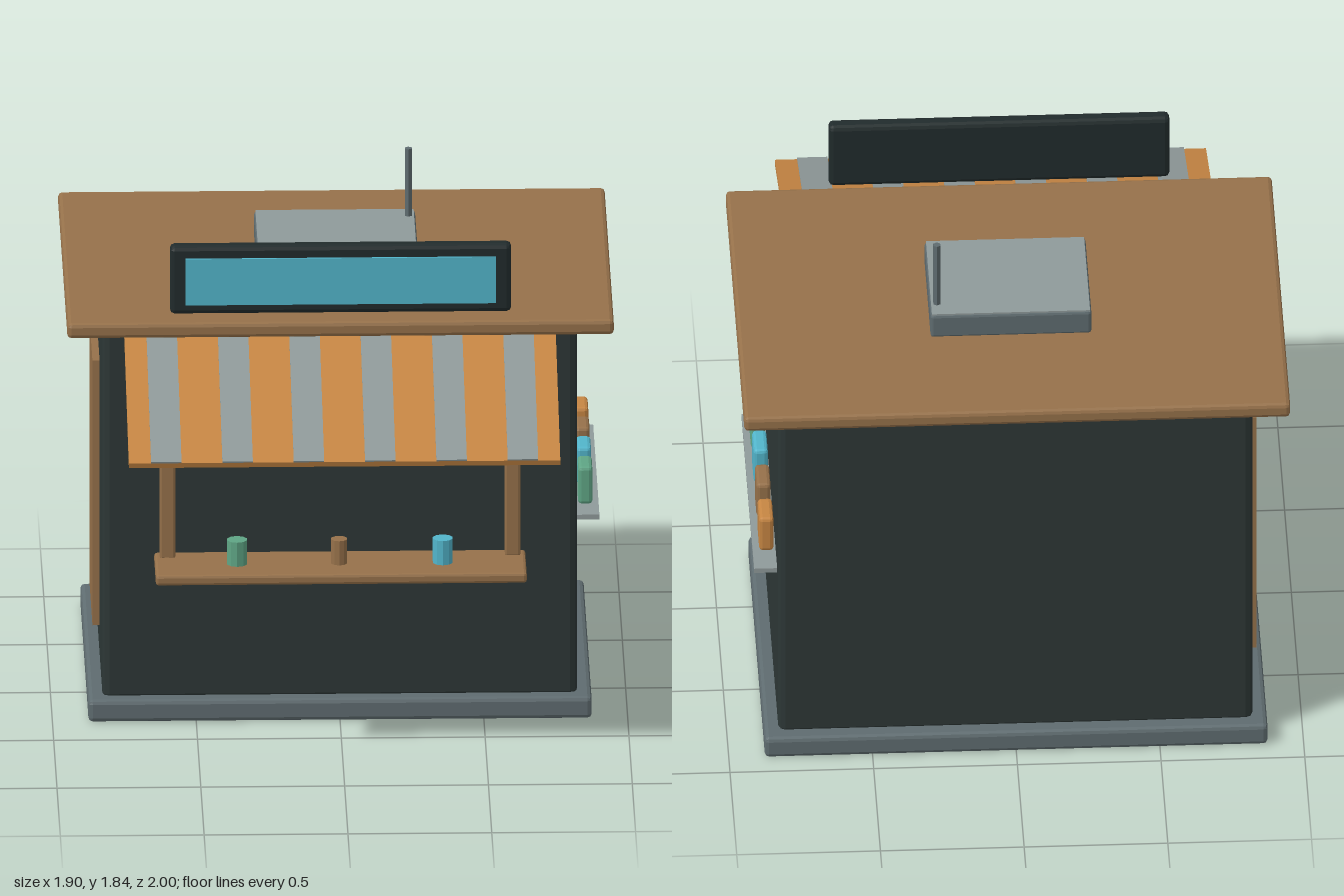
import * as THREE from 'three';
import { RoundedBoxGeometry } from 'three/addons/geometries/RoundedBoxGeometry.js';

const paint = (name, color) => {
  const m = new THREE.MeshStandardMaterial({ color });
  m.name = name;
  return m;
};

export function createModel() {
  const root = new THREE.Group();
  root.name = 'kiosk';
  const charcoal = paint('charcoal', 0x2d3736);
  const black = paint('black', 0x212b2c);
  const steel = paint('steel', 0x5f6c70);
  const paleGrey = paint('paleGrey', 0x8f9a9a);
  const wood = paint('wood', 0x96714a);
  const orange = paint('orange', 0xc68643);
  const cyan = paint('cyan', 0x52b5cb);
  const green = paint('green', 0x5fa585);

  const add = (name, geo, mat, parent = root) => {
    const mesh = new THREE.Mesh(geo, mat);
    mesh.name = name;
    parent.add(mesh);
    return mesh;
  };
  // Box given by its extents, with chamfered edges when bevel > 0
  const box = (name, mat, [x0, x1], [y0, y1], [z0, z1], bevel = 0, parent = root) => {
    const size = [x1 - x0, y1 - y0, z1 - z0];
    let geo;
    if (bevel) {
      geo = new RoundedBoxGeometry(...size, 1, bevel);
      geo.computeVertexNormals();
    } else geo = new THREE.BoxGeometry(...size);
    const mesh = add(name, geo, mat, parent);
    mesh.position.set((x0 + x1) / 2, (y0 + y1) / 2, (z0 + z1) / 2);
    return mesh;
  };
  // Round bar between two points
  const bar = (name, mat, a, b, r, sides = 8) => {
    const from = new THREE.Vector3(...a), to = new THREE.Vector3(...b);
    const dir = to.clone().sub(from);
    const geo = new THREE.CylinderGeometry(r, r, dir.length(), sides).toNonIndexed();
    geo.computeVertexNormals();
    const mesh = add(name, geo, mat);
    mesh.position.copy(from).add(to).multiplyScalar(0.5);
    mesh.quaternion.setFromUnitVectors(new THREE.Vector3(0, 1, 0), dir.normalize());
    return mesh;
  };

  // Main building
  box('base', steel, [-0.875, 0.875], [0, 0.08], [-0.92, 0.32], 0.015);
  box('walls', charcoal, [-0.825, 0.825], [0.06, 1.44], [-0.865, 0.265], 0.025);
  box('roof', wood, [-0.95, 0.95], [1.44, 1.495], [-1, 0.395], 0.014);
  box('sideDoor', wood, [-0.85, -0.82], [0.19, 1.165], [-0.6, -0.16]);

  // Serving window and counter
  box('windowPanel', charcoal, [-0.575, 0.575], [0.62, 1.22], [0.262, 0.27]);
  for (const s of [-1, 1])
    box('windowPost', wood, [s * 0.6 - 0.027, s * 0.6 + 0.027], [0.6, 1.245], [0.26, 0.32], 0.008);
  box('counter', wood, [-0.645, 0.645], [0.568, 0.606], [0.25, 0.51], 0.01);
  [[-0.36, green, 0.036], [-0.005, wood, 0.029], [0.355, cyan, 0.036]].forEach(([x, mat, r]) =>
    bar('cup', mat, [x, 0.605, 0.385], [x, 0.695, 0.385], r, 10));

  // Sloping striped awning, built flat then tilted
  const awning = new THREE.Group();
  awning.name = 'awning';
  awning.position.set(0, 1.307, 0.629);
  awning.rotation.x = Math.atan2(0.245, 0.735);
  root.add(awning);
  const half = 0.387;
  box('awningCanopy', orange, [-0.75, 0.75], [-0.01, 0.01], [-half, half], 0, awning);
  for (let i = 0; i < 6; i++) {
    const x = (i - 2.5) * 0.248;
    box('awningStripe', paleGrey, [x - 0.053, x + 0.053], [0.01, 0.016], [-half, half], 0, awning);
  }
  for (const s of [-1, 1])
    bar('awningStrut', steel, [s * 0.725, 1.14, 0.255], [s * 0.725, 1.187, 0.96], 0.009, 6);

  // Roof sign
  box('signFrame', black, [-0.593, 0.593], [1.53, 1.78], [0.345, 0.402], 0.016);
  box('signScreen', cyan, [-0.54, 0.54], [1.567, 1.737], [0.401, 0.41]);

  // Roof ventilation unit and antenna
  box('roofUnit', steel, [-0.28, 0.28], [1.49, 1.583], [-0.53, -0.075], 0.01);
  box('roofUnitLid', paleGrey, [-0.275, 0.275], [1.578, 1.587], [-0.525, -0.08]);
  bar('antenna', steel, [0.255, 1.58, -0.458], [0.255, 1.835, -0.458], 0.014, 6);

  // Side shelf with boxed goods
  box('shelf', paleGrey, [0.815, 0.905], [0.682, 0.7], [-0.77, 0.17]);
  [green, cyan, wood, orange].forEach((mat, i) => {
    const z = 0.013 - i * 0.207;
    box('shelfGoods', mat, [0.833, 0.883], [0.705, 0.842], [z - 0.066, z + 0.066], 0.012);
  });

  return root;
}
